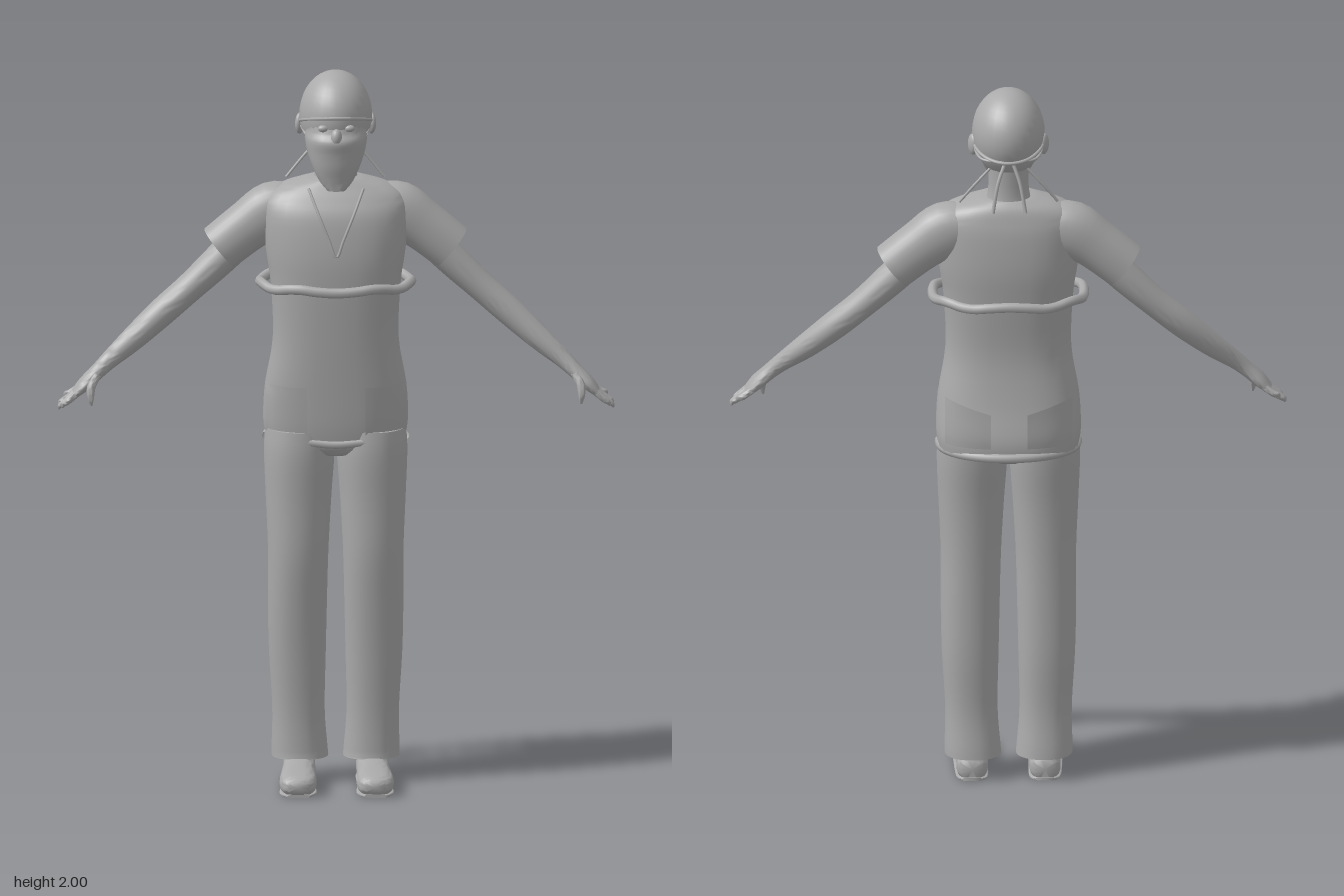
import * as THREE from 'three';
import { toCreasedNormals } from 'three/addons/utils/BufferGeometryUtils.js';

const V = (x, y, z) => new THREE.Vector3(x, y, z);
const X = V(1, 0, 0), Y = V(0, 1, 0), Z = V(0, 0, 1);

// Catmull-Rom resampling of numeric rows
function smoothRows(rows, sub = 4) {
  const out = [], n = rows.length;
  for (let i = 0; i < n - 1; i++) {
    const [a, b, c, d] = [rows[Math.max(i - 1, 0)], rows[i], rows[i + 1], rows[Math.min(i + 2, n - 1)]];
    for (let s = 0; s < sub; s++) {
      const t = s / sub;
      out.push(b.map((q, k) => 0.5 * (2 * q + (c[k] - a[k]) * t + (2 * a[k] - 5 * q + 4 * c[k] - d[k]) * t * t
        + (3 * q - a[k] - 3 * c[k] + d[k]) * t * t * t)));
    }
  }
  out.push(rows[n - 1]);
  return out;
}

// Closed skin over rows [x, y, z, radiusU, radiusV]; v is the ring's second axis, dir its normal
function loft(rows, v, dir = null, power = 2, sub = 4) {
  const R = smoothRows(rows, sub), N = 28, pos = [], idx = [];
  const sp = q => Math.sign(q) * Math.abs(q) ** (2 / power);
  R.forEach((r, i) => {
    const a = R[Math.max(i - 1, 0)], b = R[Math.min(i + 1, R.length - 1)];
    const d = dir ?? V(b[0] - a[0], b[1] - a[1], b[2] - a[2]);
    const u = v.clone().cross(d).normalize();
    for (let j = 0; j < N; j++) {
      const t = j / N * Math.PI * 2;
      const p = V(r[0], r[1], r[2]).addScaledVector(u, r[3] * sp(Math.cos(t))).addScaledVector(v, r[4] * sp(Math.sin(t)));
      pos.push(p.x, p.y, p.z);
    }
  });
  const last = (R.length - 1) * N, c0 = R.length * N;
  pos.push(...R[0].slice(0, 3), ...R[R.length - 1].slice(0, 3));
  for (let j = 0; j < N; j++) {
    const k = (j + 1) % N;
    for (let o = 0; o < last; o += N) idx.push(o + j, o + k, o + N + k, o + j, o + N + k, o + N + j);
    idx.push(c0, k, j, c0 + 1, last + j, last + k);
  }
  const g = new THREE.BufferGeometry();
  g.setAttribute('position', new THREE.Float32BufferAttribute(pos, 3));
  g.setIndex(idx);
  return toCreasedNormals(g, 0.9);
}

// [y, halfWidth, zFront, zBack] to loft rows
const upright = rows => rows.map(([y, w, f, b]) => [0, y, (f + b) / 2, w, (f - b) / 2]);
const tube = (pts, r, closed = false) =>
  new THREE.TubeGeometry(new THREE.CatmullRomCurve3(pts, closed), pts.length * 5, r, 8, closed);

const TORSO = upright([
  [0.97, 0.192, 0.062, -0.178], [1.02, 0.199, 0.068, -0.178], [1.12, 0.194, 0.074, -0.155],
  [1.25, 0.173, 0.082, -0.138], [1.4, 0.178, 0.09, -0.148], [1.5, 0.192, 0.09, -0.155],
  [1.6, 0.2, 0.075, -0.15], [1.65, 0.19, 0.05, -0.14], [1.68, 0.145, 0.03, -0.13], [1.7, 0.07, 0.018, -0.115],
]);
const TORSO_FINE = smoothRows(TORSO);

// Depth of the shirt at x, y on the front (side 1) or back (side -1)
function shirtZ(x, y, side) {
  let i = TORSO_FINE.findIndex(r => r[1] >= y);
  if (i < 1) i = 1;
  const a = TORSO_FINE[i - 1], b = TORSO_FINE[i], t = (y - a[1]) / (b[1] - a[1]);
  const m = a.map((q, k) => q + (b[k] - q) * t);
  return m[2] + side * m[4] * Math.max(0, 1 - Math.abs(x / m[3]) ** 2.5) ** 0.4;
}

// Patch lying on the shirt, standing off more at the top
function pocket(x0, x1, y0, y1, side, slant, gap) {
  const g = new THREE.PlaneGeometry(1, 1, 8, 8), p = g.attributes.position;
  for (let i = 0; i < p.count; i++) {
    const u = p.getX(i) + 0.5, v = p.getY(i) + 0.5;
    const x = x0 + (x1 - x0) * u, y = y0 + (y1 + slant * u - y0) * v;
    p.setXYZ(i, x, y, shirtZ(x, y, side) + side * (0.004 + gap * v));
  }
  g.computeVertexNormals();
  return g;
}

export function createModel() {
  const model = new THREE.Group();
  const grey = new THREE.MeshStandardMaterial({ color: 0xaaaaaa, side: THREE.DoubleSide });
  grey.name = 'plain grey';
  const add = (name, geo) => {
    const m = new THREE.Mesh(geo, grey);
    m.name = name;
    model.add(m);
    return m;
  };
  const blob = (name, x, y, z, a, b, c) => {
    const m = add(name, new THREE.SphereGeometry(1, 28, 20));
    m.position.set(x, y, z);
    m.scale.set(a, b, c);
    return m;
  };

  // Shirt, collar and hem
  add('shirt', loft(TORSO, Z, Y, 2.5));
  const collar = [-0.075, -0.07, -0.045, -0.02, 0, 0.02, 0.045, 0.07, 0.075].map(x => {
    const y = 1.5 + 2.4 * Math.abs(x);
    return V(x, y, shirtZ(x, y, 1));
  });
  add('collar', tube(collar, 0.004));
  const hem = [];
  for (let i = 0; i <= 14; i++) {
    const t = Math.PI * i / 14;
    hem.push(V(0.19 * Math.cos(t), 0.972, -0.03 - 0.15 * Math.sin(t) ** 0.8));
  }
  add('backHem', tube(hem, 0.013));
  add('frontHem', tube([V(-0.08, 0.972, 0.055), V(0, 0.966, 0.06), V(0.08, 0.972, 0.055)], 0.011));

  // Loose band around the chest
  const band = [];
  for (let i = 0; i < 32; i++) {
    const t = Math.PI * i / 16, c = Math.cos(t), s = Math.sin(t);
    band.push(V(0.208 * Math.sign(c) * Math.abs(c) ** 0.8, 1.408 + 0.004 * Math.sin(t * 7), -0.032 + 0.14 * Math.sign(s) * Math.abs(s) ** 0.9));
  }
  add('chestBand', tube(band, 0.014, true));

  // Head, cap and mask
  add('neck', loft(upright([[1.66, 0.075, 0.0, -0.12], [1.72, 0.056, -0.012, -0.11], [1.82, 0.058, 0, -0.115]]), Z, Y));
  blob('cap', 0, 1.878, -0.033, 0.1, 0.122, 0.122);
  add('maskedFace', loft(upright([
    [1.685, 0.024, 0.083, 0.055], [1.71, 0.046, 0.086, 0.03], [1.75, 0.066, 0.095, -0.01],
    [1.79, 0.08, 0.1, -0.055], [1.825, 0.086, 0.106, -0.09], [1.85, 0.088, 0.09, -0.11], [1.89, 0.092, 0.082, -0.12],
  ]), Z, Y, 2.1));
  const brim = [];
  for (let i = 0; i < 20; i++) {
    const t = Math.PI * i / 10, s = Math.sin(t);
    brim.push(V(0.097 * Math.cos(t), 1.86 + 0.032 * s, -0.034 + 0.12 * s));
  }
  add('capBand', tube(brim, 0.005, true));
  blob('nose', 0, 1.838, 0.09, 0.016, 0.025, 0.018);

  // Hips joining the legs
  add('hips', loft(upright([[0.93, 0.06, 0.04, -0.11], [0.96, 0.16, 0.06, -0.15], [1.03, 0.19, 0.06, -0.16]]), Z, Y, 2.4));

  for (const [side, s] of [['left', 1], ['right', -1]]) {
    const flip = rows => rows.map(([x, ...r]) => [s * x, ...r]);
    const path = pts => pts.map(([x, y, z]) => V(s * x, y, z));

    // Eyes, ears and ties
    blob(side + 'Eye', s * 0.036, 1.862, 0.078, 0.015, 0.01, 0.01);
    blob(side + 'Ear', s * 0.098, 1.848, -0.052, 0.012, 0.03, 0.02).rotation.y = s * 0.4;
    add(side + 'MaskStrap', tube(path([[0.083, 1.835, 0.03], [0.094, 1.845, -0.04], [0.075, 1.83, -0.12], [0.02, 1.83, -0.15]]), 0.004));
    add(side + 'CapTie', tube(path([[0.012, 1.82, -0.138], [0.03, 1.77, -0.155], [0.045, 1.69, -0.174]]), 0.005));
    add(side + 'MaskTie', tube(path([[0.05, 1.79, -0.085], [0.09, 1.745, -0.085], [0.135, 1.69, -0.08]]), 0.004));

    // Pockets
    add(side + 'FrontPocket', pocket(s * 0.08, s * 0.192, 0.99, 1.13, 1, 0, 0.006));
    add(side + 'BackPocket', pocket(s * 0.05, s * 0.175, 1.0, 1.1, -1, 0.035, 0.022));

    // Sleeve and arm
    add(side + 'Sleeve', loft(flip([
      [0.1, 1.615, -0.062, 0.06, 0.06], [0.17, 1.602, -0.062, 0.078, 0.068], [0.24, 1.557, -0.062, 0.07, 0.066],
      [0.318, 1.495, -0.062, 0.067, 0.066],
    ]), Z, null, 2.2));
    add(side + 'Arm', loft(flip([
      [0.24, 1.54, -0.06, 0.048, 0.05], [0.32, 1.46, -0.06, 0.045, 0.048], [0.4, 1.385, -0.056, 0.04, 0.045],
      [0.48, 1.315, -0.046, 0.039, 0.043], [0.56, 1.245, -0.025, 0.033, 0.036], [0.62, 1.195, -0.005, 0.025, 0.027],
      [0.655, 1.163, 0.006, 0.021, 0.029], [0.69, 1.13, 0.012, 0.019, 0.038], [0.715, 1.105, 0.012, 0.013, 0.036],
    ]), Z));

    // Fingers and thumb
    [[-0.02, 0.745, 1.085], [0.0, 0.76, 1.066], [0.02, 0.762, 1.06], [0.038, 0.752, 1.068]].forEach(([z, x, y], i) =>
      add(side + 'Finger' + (i + 1), loft(flip([
        [0.7, 1.118, z * 0.85 + 0.003, 0.01, 0.01], [(0.715 + x) / 2, (1.11 + y) / 2, z, 0.009, 0.009],
        [x - 0.004, y + 0.01, z, 0.007, 0.007], [x, y, z, 0.002, 0.002],
      ]), Z)));
    add(side + 'Thumb', loft(flip([
      [0.655, 1.16, 0.025, 0.012, 0.014], [0.672, 1.13, 0.045, 0.012, 0.012],
      [0.674, 1.1, 0.055, 0.009, 0.009], [0.672, 1.078, 0.056, 0.003, 0.003],
    ]), Z));

    // Trouser leg and shoe
    add(side + 'TrouserLeg', loft(flip([
      [0.098, 0.068, -0.055, 0.078, 0.075], [0.099, 0.09, -0.055, 0.077, 0.073], [0.102, 0.2, -0.05, 0.072, 0.068],
      [0.105, 0.36, -0.047, 0.078, 0.077], [0.105, 0.5, -0.04, 0.081, 0.085], [0.103, 0.65, -0.033, 0.083, 0.094],
      [0.102, 0.8, -0.035, 0.09, 0.1], [0.1, 0.93, -0.04, 0.097, 0.11], [0.1, 1.0, -0.045, 0.093, 0.11],
    ]), Z, Y, 2.2));
    add(side + 'Shoe', loft(flip([
      [0.1, 0.032, -0.108, 0.028, 0.026], [0.1, 0.035, -0.09, 0.042, 0.034], [0.1, 0.038, -0.02, 0.044, 0.036],
      [0.104, 0.035, 0.06, 0.047, 0.033], [0.106, 0.033, 0.14, 0.051, 0.03], [0.106, 0.031, 0.18, 0.044, 0.026],
      [0.106, 0.03, 0.194, 0.026, 0.016],
    ]), Y, Z, 2.8));
    add(side + 'Sole', loft(flip([
      [0.1, 0.005, -0.11, 0.026, 0.005], [0.1, 0.005, -0.08, 0.044, 0.005], [0.104, 0.005, 0.06, 0.047, 0.005],
      [0.106, 0.005, 0.15, 0.051, 0.005], [0.106, 0.005, 0.192, 0.03, 0.005],
    ]), Y, Z, 4));
  }
  return model;
}
